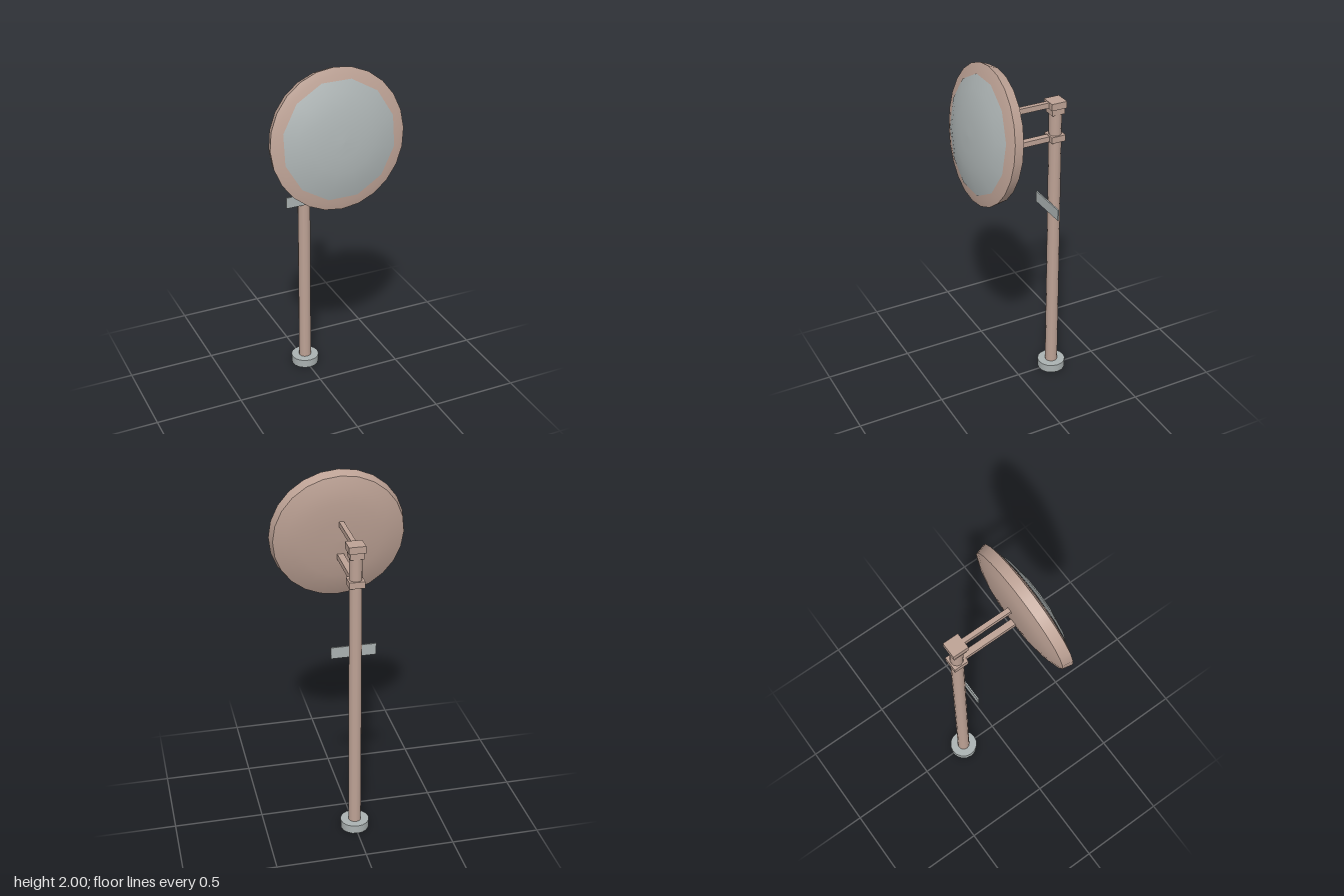
import * as THREE from 'three';

const brown = new THREE.MeshStandardMaterial({ name: 'brown paint', color: 0xbda295 });
const grey = new THREE.MeshStandardMaterial({ name: 'grey metal', color: 0xabb2b2 });
const greyOpen = new THREE.MeshStandardMaterial({ name: 'grey metal open', color: 0xabb2b2, side: THREE.DoubleSide });

const POST_Z = -0.22;

function add(parent, name, geometry, material, x = 0, y = 0, z = 0) {
  const mesh = new THREE.Mesh(geometry, material);
  mesh.name = name;
  mesh.position.set(x, y, z);
  parent.add(mesh);
  return mesh;
}

// Lathe around +z from [radius, depth] pairs listed from back to front
function dish(points, sides, phase = 0) {
  const profile = points.map(([r, d]) => new THREE.Vector2(r, d));
  return new THREE.LatheGeometry(profile, sides, phase).rotateX(Math.PI / 2);
}

export function createModel() {
  const model = new THREE.Group();
  model.name = 'trafficMirror';

  // Hollow base collar with a closed top
  const base = new THREE.Group();
  base.name = 'base';
  model.add(base);
  add(base, 'baseWall', new THREE.CylinderGeometry(0.081, 0.08, 0.05, 16, 1, true), greyOpen, 0, 0.025, POST_Z);
  add(base, 'baseTop', new THREE.CircleGeometry(0.081, 16).rotateX(-Math.PI / 2), greyOpen, 0, 0.05, POST_Z);

  // Post, collar, cap and clamp
  add(model, 'post', new THREE.CylinderGeometry(0.035, 0.036, 1.66, 12), brown, 0, 0.87, POST_Z);
  add(model, 'collar', new THREE.BoxGeometry(0.074, 0.034, 0.074), brown, 0, 1.677, POST_Z);
  add(model, 'cap', new THREE.BoxGeometry(0.09, 0.038, 0.09), brown, 0, 1.714, POST_Z);
  add(model, 'clamp', new THREE.BoxGeometry(0.084, 0.036, 0.084), brown, 0, 1.52, POST_Z);

  // Two arms reaching forward to the back of the mirror
  for (const [name, width, y] of [['upperArm', 0.026, 1.715], ['lowerArm', 0.036, 1.52]]) {
    add(model, name, new THREE.BoxGeometry(width, 0.03, 0.33), brown, 0, y, -0.025);
  }

  // Sign plate on the front of the post
  add(model, 'signPlate', new THREE.BoxGeometry(0.247, 0.065, 0.008), grey, 0, 1.105, -0.18);

  // Mirror head, tilted slightly upward
  const head = new THREE.Group();
  head.name = 'mirrorHead';
  head.position.set(0, 1.628, 0.2225);
  head.rotation.x = -0.141;
  model.add(head);
  add(head, 'backShell', dish([[0, -0.104], [0.12, -0.102], [0.22, -0.094], [0.3, -0.078], [0.362, -0.056]], 24), brown);
  add(head, 'rimBand', dish([[0.362, -0.056], [0.376, 0]], 24), brown);
  add(head, 'rimFace', dish([[0.376, 0], [0.34, 0.012], [0.29, 0.022]], 24), brown);
  add(head, 'mirrorGlass',
    dish([[0.318, 0.02], [0.25, 0.043], [0.17, 0.06], [0.085, 0.069], [0, 0.071]], 12, Math.PI / 12), grey);

  return model;
}
